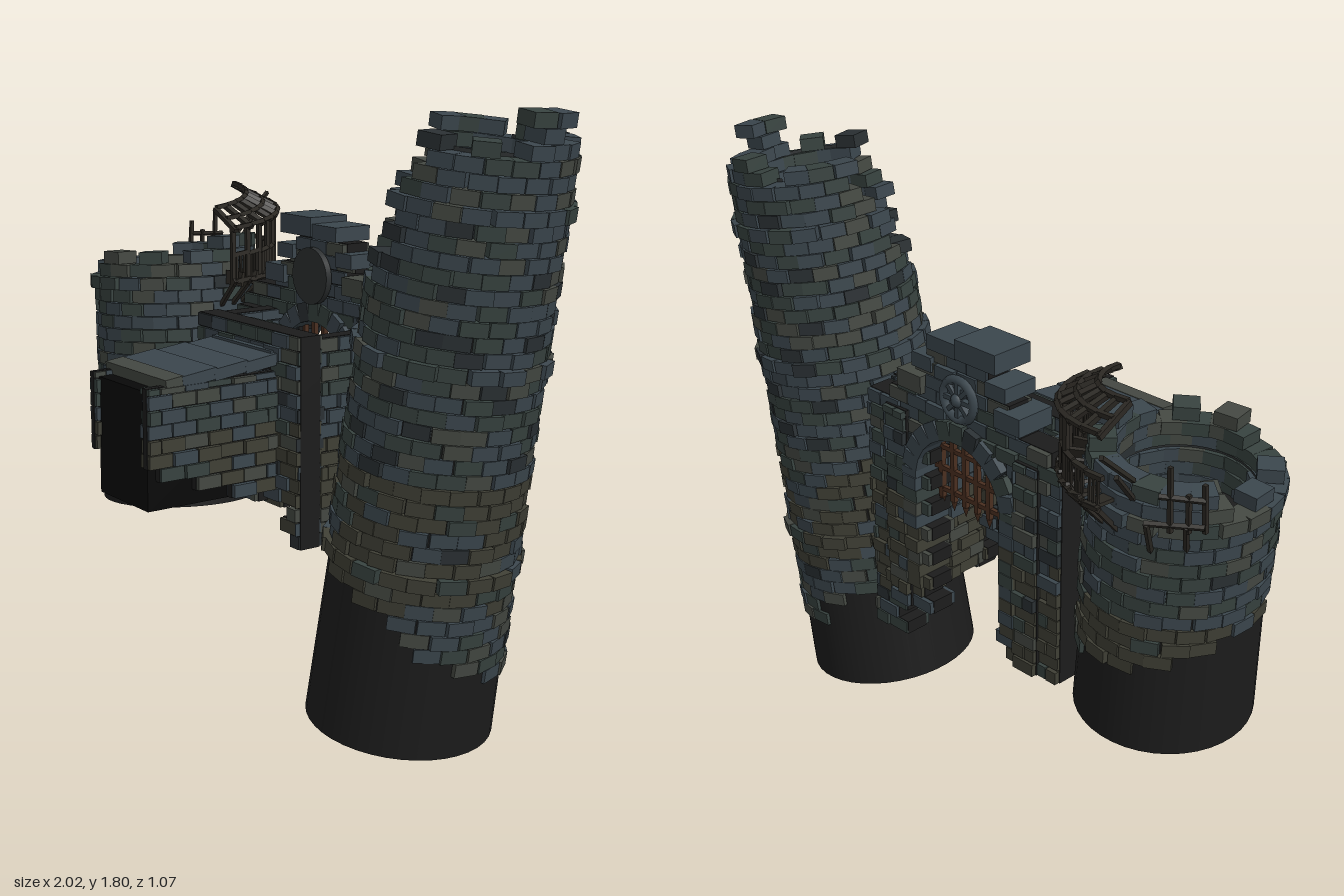
import * as THREE from 'three';
import { mergeGeometries } from 'three/addons/utils/BufferGeometryUtils.js';

const STONE = [0x3b464d, 0x37423f, 0x444842, 0x3f3f35, 0x2a3033];
const WOOD = 0x2b2823, IRON = 0x4a2f20, DARK = 0x1c1c1c, BLACK = 0x080808, GREY = 0x2c2f30;
const UP = new THREE.Vector3(0, 1, 0);
const GX = -0.07; // gate centre

let seed = 11;
const rnd = () => (seed = (seed * 16807) % 2147483647) / 2147483647;
const jit = (s) => (rnd() - 0.5) * 2 * s;
const deg = THREE.MathUtils.degToRad;

function mesh(parent, name, geo, color, double = false) {
  const m = new THREE.Mesh(geo, new THREE.MeshStandardMaterial({ color }));
  if (double) m.material.side = THREE.DoubleSide;
  m.name = name;
  parent.add(m);
}

const block = (x0, x1, y0, y1, z0, z1) => new THREE.BoxGeometry(x1 - x0, y1 - y0, z1 - z0)
  .translate((x0 + x1) / 2, (y0 + y1) / 2, (z0 + z1) / 2);

// Collects stones by colour, plus the dark mortar behind them, then merges each
class Masonry {
  constructor() { this.bins = STONE.map(() => []); this.mortar = []; }
  add(geo, y) {
    const t = rnd(), mossy = y > 0.42 && y < 0.82;
    let i = t < 0.45 ? 0 : t < 0.75 ? 1 : t < 0.92 ? 2 : 4;
    if (mossy && rnd() < 0.6) i = 3;
    this.bins[i].push(geo);
  }
  box(...b) { this.add(block(...b), b[2]); }
  build(parent, name) {
    this.bins.forEach((b, i) => b.length && mesh(parent, name, mergeGeometries(b), STONE[i]));
    if (this.mortar.length) mesh(parent, 'mortar', mergeGeometries(this.mortar), DARK);
  }
}

// Straight bar between two points
function beam(p, q, w = 0.012, h = w) {
  const a = new THREE.Vector3(...p), b = new THREE.Vector3(...q), d = b.clone().sub(a);
  const g = new THREE.BoxGeometry(w, d.length(), h);
  g.applyQuaternion(new THREE.Quaternion().setFromUnitVectors(UP, d.normalize()));
  return g.translate((a.x + b.x) / 2, (a.y + b.y) / 2, (a.z + b.z) / 2);
}

// Leaning round tower; angle 0 faces +z, 90 degrees faces +x
function tower(root, name, o) {
  const g = new THREE.Group();
  g.name = name;
  g.position.set(...o.base);
  g.quaternion.setFromUnitVectors(UP, new THREE.Vector3(...o.lean).normalize());
  g.scale.x = 0.955;
  root.add(g);
  const rad = (y) => THREE.MathUtils.lerp(o.r0, o.r1, y / o.height);
  const m = new Masonry(), n = 21, rh = 0.042;
  for (let k = 0; k * rh < o.height + 0.2; k++) {
    const y = k * rh, band = o.bands.includes(k) ? 0.014 : 0;
    for (let i = 0; i < n; i++) {
      const a = ((i + (k % 2) / 2 + jit(0.06)) / n) * Math.PI * 2;
      if (y < o.bottom(a) + jit(0.02) || y + rh / 2 > o.top(a) + jit(0.02)) continue;
      const r = rad(Math.min(y, o.height)), depth = 0.075;
      const b = new THREE.BoxGeometry((r * 2 * Math.PI / n) * 0.97, rh * 0.95, depth);
      b.rotateZ(jit(0.025)).rotateY(jit(0.03)).translate(0, y + rh / 2, r - depth / 2 + band + jit(0.006) + 0.002);
      m.add(b.rotateY(a), y + o.base[1]);
    }
  }
  m.build(g, 'towerStones');
  // Plain foundation and core, closed by the floor inside the broken top
  mesh(g, 'foundation', new THREE.CylinderGeometry(rad(o.floor) - 0.014, o.r0 - 0.002, o.floor, 40)
    .translate(0, o.floor / 2, 0), DARK);
  const lh = o.lining - o.floor, lr = rad(o.lining) - 0.062;
  mesh(g, 'innerLining', new THREE.CylinderGeometry(lr, lr, lh, 32, 1, true, deg(o.arc[0]), deg(o.arc[1]))
    .translate(0, o.floor + lh / 2, 0), GREY, true);
  // Loose stones on the floor
  const rub = new Masonry();
  for (let i = 0; i < 11; i++) {
    const a = rnd() * 6.28, d = rnd() * 0.1;
    rub.add(new THREE.BoxGeometry(0.07, 0.04, 0.05).rotateX(jit(0.5)).rotateY(a * 3)
      .translate(Math.sin(a) * d, o.floor + 0.02 + rnd() * 0.04, Math.cos(a) * d), 1);
  }
  rub.build(g, 'rubble');
}

// Running-bond wall along x or z, keeping the bricks that pass a test
function wall(m, along, u0, u1, y0, y1, w0, w1, keep = () => true) {
  const rh = 0.043, len = 0.082, s = 0.002, inset = 0.012;
  let row = 0;
  for (let y = y0; y < y1 - 0.01; y += rh, row++) {
    for (let u = u0 - (row % 2) * len / 2; u < u1 - 0.005; u += len) {
      const a = Math.max(u, u0), b = Math.min(u + len, u1);
      if (b - a < 0.005 || !keep((a + b) / 2, y + rh / 2)) continue;
      const p = w0 + jit(0.007), q = w1 + jit(0.007), t = Math.min(y + rh, y1);
      if (along === 'x') {
        m.box(a + s, b - s, y + s, t - s, p, q);
        m.mortar.push(block(a, b, y, t, w0 + inset, w1 - inset));
      } else {
        m.box(p, q, y + s, t - s, a + s, b - s);
        m.mortar.push(block(w0 + inset, w1 - inset, y, t, a, b));
      }
    }
  }
}

function gatehouse(root) {
  const g = new THREE.Group();
  g.name = 'gatehouse';
  root.add(g);
  const m = new Masonry();
  // Back wall with arch, stepped gable and broken foot
  wall(m, 'x', -0.46, 0.335, 0.32, 1.36, -0.28, -0.18, (x, y) => {
    const d = Math.abs(x - GX);
    if (d < 0.18 && (y < 0.92 || Math.hypot(d, y - 0.92) < 0.19)) return false;
    const top = d < 0.13 ? 1.37 : d < 0.18 ? 1.31 : d < 0.24 ? 1.23 : d < 0.33 ? 1.19 : 1.145;
    const foot = x < 0 ? 0.44 : x < 0.2 ? 0.45 : 0.32;
    return y < top && y > foot;
  });
  // Capstones and side shoulders
  m.box(-0.23, -0.07, 1.36, 1.42, -0.3, -0.16);
  m.box(-0.07, 0.05, 1.355, 1.4, -0.295, -0.165);
  for (const s of [-1, 1]) {
    m.box(GX + s * 0.2 - 0.05, GX + s * 0.2 + 0.05, 1.2, 1.255, -0.295, -0.165);
    m.box(GX + s * 0.15 - 0.04, GX + s * 0.15 + 0.04, 1.28, 1.325, -0.29, -0.17);
    // Back buttresses beside the gate
    wall(m, 'x', GX + s * 0.27 - 0.045, GX + s * 0.27 + 0.045, 0.45, 1.12, -0.3, -0.265);
  }
  // Arch stones and jambs
  for (let i = 0; i <= 12; i++) {
    const a = (i / 12) * Math.PI;
    m.add(new THREE.BoxGeometry(0.06, 0.05, 0.13).translate(0.205, 0, 0).rotateZ(a)
      .translate(GX, 0.92, -0.235), 1);
  }
  for (const s of [-1, 1]) for (let k = 0; k < 9; k++)
    m.box(GX + s * 0.202 - 0.028, GX + s * 0.202 + 0.028, 0.535 + k * 0.043, 0.576 + k * 0.043, -0.3 + jit(0.006), -0.17);
  // Front wall with doorway, and side walls of the open chamber
  wall(m, 'x', -0.34, 0.2, 0.47, 1.115, -0.01, 0.085, (x, y) => {
    if (x > -0.2 && x < 0.055 && y < 1.03) return false;
    return y > (x < -0.27 ? 0.52 : x < 0.13 ? 0.58 : 0.47);
  });
  m.box(-0.23, 0.085, 1.02, 1.06, 0.0, 0.1);
  wall(m, 'z', -0.19, 0, 0.56, 1.11, -0.34, -0.255);
  wall(m, 'z', -0.19, 0, 0.5, 1.11, 0.125, 0.2);
  // Wing stepping down toward the tall tower
  wall(m, 'x', 0.19, 0.33, 0.32, 1.15, -0.19, -0.13, (x, y) => y > 0.5 - (x - 0.19) * 1.2);
  wall(m, 'x', -0.44, -0.33, 0.46, 1.11, -0.19, -0.13);
  m.build(g, 'gateStones');

  // Round panel inside, rosette outside
  mesh(g, 'roundPanel', new THREE.CylinderGeometry(0.088, 0.088, 0.02, 32).rotateX(Math.PI / 2)
    .translate(GX, 1.24, -0.165), GREY);
  const ros = [new THREE.TorusGeometry(0.062, 0.014, 6, 20).translate(GX, 1.23, -0.285),
    new THREE.SphereGeometry(0.022, 10, 8).translate(GX, 1.23, -0.288)];
  for (let i = 0; i < 8; i++) ros.push(new THREE.BoxGeometry(0.014, 0.05, 0.02).translate(0, 0.04, 0)
    .rotateZ(i * Math.PI / 4).translate(GX, 1.23, -0.285));
  mesh(g, 'rosette', mergeGeometries(ros), STONE[0]);

  // Raised portcullis with pointed feet
  const bars = [];
  for (let i = -3; i <= 3; i++) {
    const x = GX + i * 0.05;
    bars.push(beam([x, 0.84, -0.215], [x, 0.92 + Math.sqrt(0.19 ** 2 - (i * 0.05) ** 2), -0.215], 0.016));
    bars.push(new THREE.ConeGeometry(0.013, 0.035, 4).rotateX(Math.PI).translate(x, 0.823, -0.215));
  }
  for (const y of [0.87, 0.94, 1.01]) {
    const w = y < 0.92 ? 0.18 : Math.sqrt(0.19 ** 2 - (y - 0.92) ** 2);
    bars.push(beam([GX - w, y, -0.215], [GX + w, y, -0.215], 0.014));
  }
  mesh(g, 'portcullis', mergeGeometries(bars), IRON);
}

function bridge(root) {
  const g = new THREE.Group();
  g.name = 'bridge';
  root.add(g);
  const m = new Masonry();
  // Side walls, their lower edge rising in steps toward the outer end
  for (const [a, b] of [[-0.24, -0.2], [0.055, 0.1]])
    wall(m, 'z', 0.08, 0.53, 0.635, 1.0, a, b, (z, y) => y > 0.63 + Math.max(0, z - 0.2) * 0.4);
  // Overlapping deck slabs, the outermost one broken short
  for (let i = 0; i < 4; i++) {
    m.add(new THREE.BoxGeometry(0.345 + jit(0.006), 0.035, i < 3 ? 0.118 : 0.06).rotateX(0.12)
      .translate(GX, 1.03 - i * 0.008, i < 3 ? 0.14 + i * 0.108 : 0.44), 1);
  }
  m.build(g, 'bridgeStones');
  mesh(g, 'bridgeCore', block(-0.207, 0.063, 0.632, 0.985, 0.015, 0.515), BLACK);
}

// Broken wooden gallery around the back of the short tower
function gallery(root) {
  const list = [];
  const P = (a, r, y) => [-0.735 + Math.sin(deg(a)) * r, y, -0.09 + Math.cos(deg(a)) * r];
  const a0 = 92, step = 11, n = 8;
  for (let i = 0; i <= n; i++) {
    const a = a0 + i * step, rise = 1.36 + i * 0.006;
    if (i < 6) list.push(beam(P(a, 0.325, 1.17), P(a, 0.325, rise), 0.014));
    list.push(beam(P(a, 0.345, rise - 0.01), P(a, 0.23, rise + 0.05), 0.014, 0.018));
    list.push(beam(P(a, 0.26, 1.1), P(a, 0.34, 1.19), 0.013));
    if (i === n) continue;
    const b = a + step;
    for (const [r, y] of [[0.34, rise], [0.29, rise + 0.025], [0.235, rise + 0.055], [0.325, 1.27], [0.335, 1.185]])
      list.push(beam(P(a, r, y), P(b, r, y + 0.005), 0.014));
    for (const k of [1, 2, 3])
      list.push(beam(P(a + k * step / 4, 0.325, 1.19), P(a + k * step / 4, 0.325, 1.27), 0.007));
    list.push(beam(P(a + 5, 0.26, 1.19), P(a + 5, 0.34, 1.19), 0.045, 0.01));
  }
  mesh(root, 'woodenGallery', mergeGeometries(list), WOOD);
  // Splintered remains on the outer side
  const rest = [
    [[-0.83, 1.41, -0.53], [-0.79, 1.27, -0.36]], [[-0.81, 1.32, -0.45], [-0.78, 1.2, -0.34]],
    [[-0.98, 1.17, -0.3], [-0.98, 1.31, -0.31]], [[-0.915, 1.17, -0.36], [-0.912, 1.355, -0.365]],
    [[-0.95, 1.17, -0.33], [-0.95, 1.28, -0.335]], [[-0.985, 1.265, -0.31], [-0.89, 1.27, -0.38]],
    [[-0.985, 1.19, -0.31], [-0.86, 1.19, -0.4]], [[-0.9, 1.07, -0.27], [-0.95, 1.19, -0.34]],
    [[-0.83, 1.07, -0.33], [-0.87, 1.19, -0.4]],
  ].map(([p, q]) => beam(p, q, 0.012));
  mesh(root, 'brokenTimbers', mergeGeometries(rest), WOOD);
}

export function createModel() {
  const root = new THREE.Group();
  root.name = 'ruinedCastleGate';

  tower(root, 'tallTower', {
    base: [0.525, 0.035, -0.045], lean: [0.226, 1.71, -0.075], height: 1.7,
    r0: 0.28, r1: 0.257, floor: 1.22, lining: 1.69, arc: [15, 190], bands: [12, 26, 36],
    bottom: (a) => 0.33 + 0.15 * Math.cos(a + 0.78),
    top: (a) => {
      const d = ((THREE.MathUtils.radToDeg(a) + 180) % 360) - 180;
      if (Math.abs(d - 95) < 12) return 1.79;
      if (Math.abs(Math.abs(d) - 175) < 10) return 1.77;
      // Corner facing the front and the gate has collapsed, steeply on its front side
      const right = d > -10 ? 1.4 + (d + 10) * 0.014 : 1.24 + (d + 42) * 0.005;
      return Math.min(1.71, d > -42 ? right : 1.24 + (-42 - d) * 0.0078);
    },
  });
  tower(root, 'shortTower', {
    base: [-0.685, 0.425, -0.07], lean: [-0.056, 0.8, -0.02], height: 0.8,
    r0: 0.27, r1: 0.267, floor: 0.6, lining: 0.72, arc: [0, 360], bands: [17],
    bottom: (a) => 0.28 + 0.1 * Math.cos(a + 1.05),
    top: (a) => 0.82 + 0.04 * Math.sin(a) - 0.03 * Math.cos(a) + 0.015 * Math.sin(a * 5),
  });
  gatehouse(root);
  bridge(root);
  gallery(root);
  return root;
}
